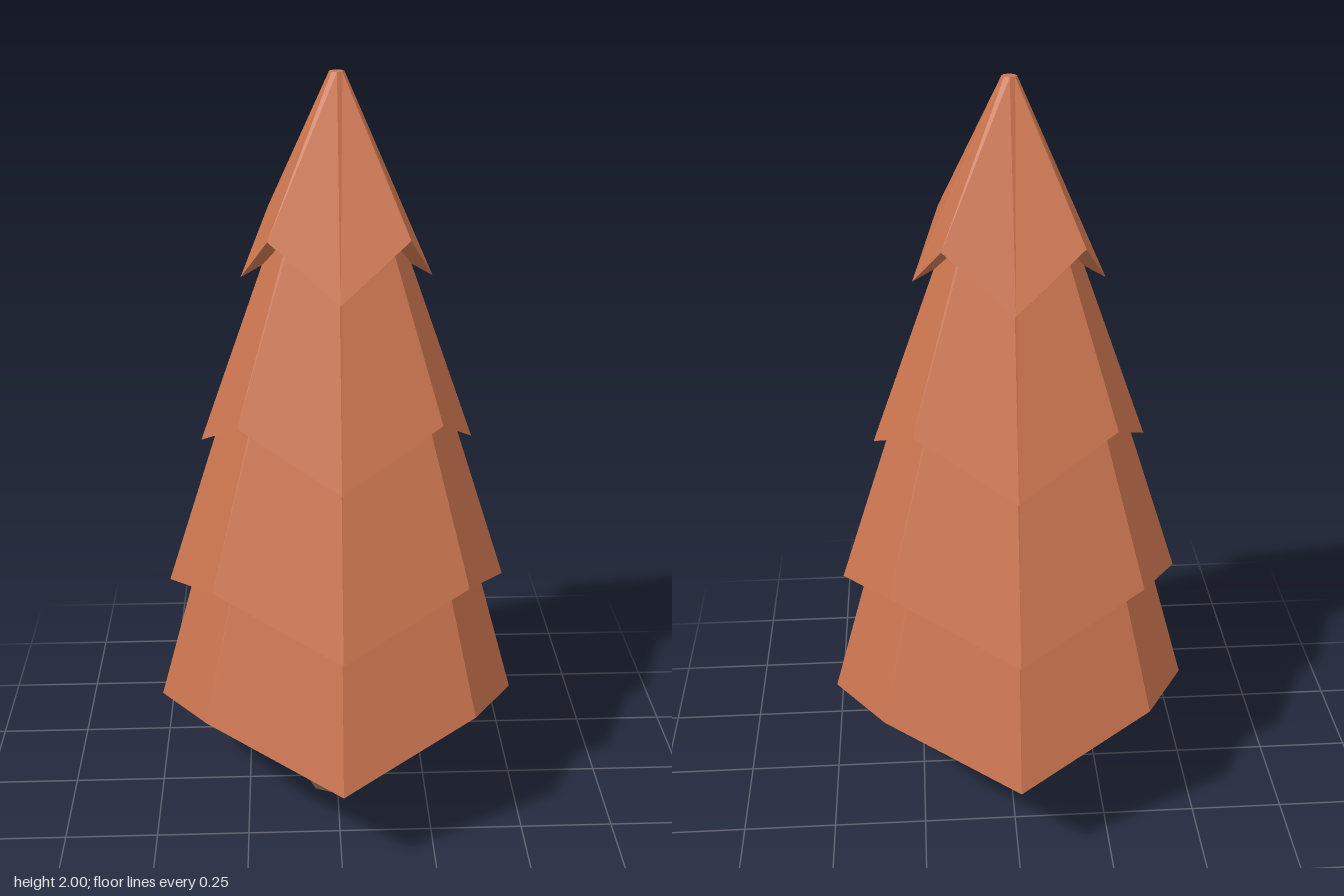
import * as THREE from 'three';

const SIDES = 8;
const TOP_Y = 2;
const TOP_RADIUS = 0.018;
const DROP = 0.135; // how far every second hem corner hangs down

// Cone with a zigzag hem: the corners on the x and z axes are pulled down
function tierGeometry(radius, baseY) {
  const height = TOP_Y - baseY;
  const geometry = new THREE.CylinderGeometry(TOP_RADIUS, radius, height, SIDES);
  geometry.translate(0, baseY + height / 2, 0);
  const pos = geometry.attributes.position;
  for (let i = 0; i < pos.count; i++) {
    const x = Math.abs(pos.getX(i));
    const z = Math.abs(pos.getZ(i));
    const onHem = pos.getY(i) < baseY + 0.001 && Math.max(x, z) > 0.1;
    if (onHem && Math.min(x, z) < 0.001) pos.setY(i, baseY - DROP);
  }
  geometry.computeVertexNormals();
  return geometry;
}

export function createModel() {
  const tree = new THREE.Group();
  tree.name = 'tree';

  const foliage = new THREE.MeshStandardMaterial({ color: 0xcc7650, flatShading: true });
  const bark = new THREE.MeshStandardMaterial({ color: 0x6e5541, flatShading: true });

  // Trunk, reaching just inside the lowest tier
  const trunk = new THREE.Mesh(new THREE.CylinderGeometry(0.088, 0.088, 0.5, SIDES), bark);
  trunk.name = 'trunk';
  trunk.position.y = 0.25;
  tree.add(trunk);

  // Foliage tiers from bottom to top: [hem radius, hem height], all meeting at the tip
  const tiers = [[0.488, 0.43], [0.45, 0.795], [0.35, 1.205], [0.237, 1.64]];
  tiers.forEach(([radius, baseY], i) => {
    const tier = new THREE.Mesh(tierGeometry(radius, baseY), foliage);
    tier.name = `foliageTier${i + 1}`;
    tree.add(tier);
  });

  return tree;
}
